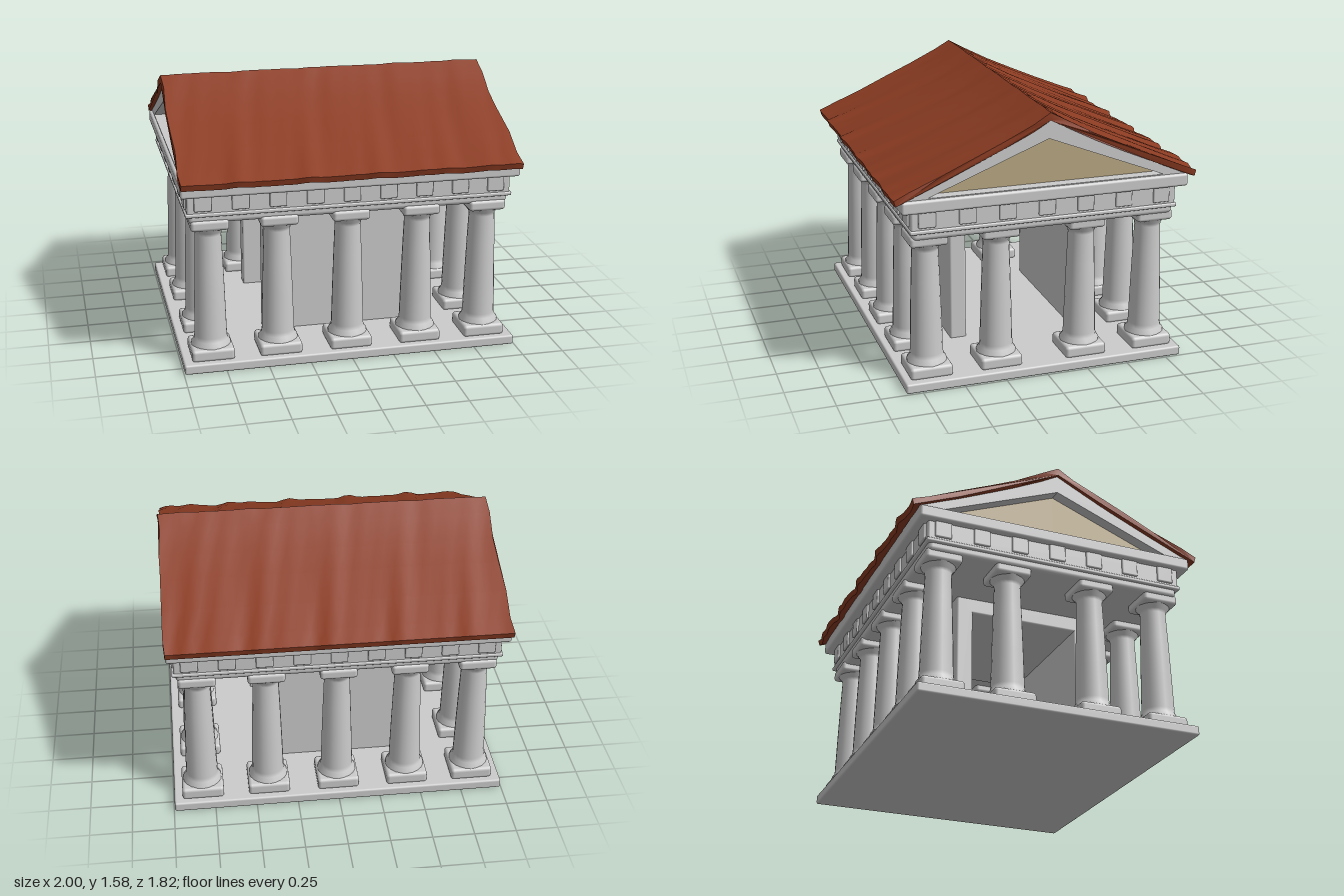
import * as THREE from 'three';
import { toCreasedNormals } from 'three/addons/utils/BufferGeometryUtils.js';
import { RoundedBoxGeometry } from 'three/addons/geometries/RoundedBoxGeometry.js';

const stone = new THREE.MeshStandardMaterial({ color: 0xcccccc });
const tile = new THREE.MeshStandardMaterial({ color: 0x8c3c22 });
const ochre = new THREE.MeshStandardMaterial({ color: 0xb8a681 });

function add(parent, name, geometry, material = stone) {
  const mesh = new THREE.Mesh(geometry, material);
  mesh.name = name;
  parent.add(mesh);
  return mesh;
}

// Softened block with full width and depth, standing between two heights
function block(parent, name, w, d, y0, y1, x = 0, z = 0, r = 0.012) {
  const mesh = add(parent, name, new RoundedBoxGeometry(w, y1 - y0, d, 2, r));
  mesh.position.set(x, (y0 + y1) / 2, z);
  return mesh;
}

// Profile of [z, y] points (z >= 0 half, mirrored) as a closed shape
function mirrored(points, Type = THREE.Shape) {
  const right = points.map(([z, y]) => new THREE.Vector2(z, y));
  const left = points.filter(([z]) => z > 0).reverse().map(([z, y]) => new THREE.Vector2(-z, y));
  return new Type([...right, ...left]);
}

// Extrude a z/y shape along x, centred
function alongX(shape, length, steps = 1) {
  const g = new THREE.ExtrudeGeometry(shape, { depth: length, steps, bevelEnabled: false });
  return g.translate(0, 0, -length / 2).rotateY(Math.PI / 2);
}

function column(x, z) {
  const group = new THREE.Group();
  group.name = 'column';
  block(group, 'plinth', 0.25, 0.25, 0.05, 0.125, 0, 0, 0.02);
  const profile = [
    [0.118, 0.11], [0.115, 0.135], [0.1, 0.155], [0.096, 0.18], [0.09, 0.4], [0.083, 0.62],
    [0.076, 0.8], [0.08, 0.82], [0.1, 0.845], [0.106, 0.87],
  ].map(([r, y]) => new THREE.Vector2(r, y));
  add(group, 'shaft', new THREE.LatheGeometry(profile, 20));
  block(group, 'abacus', 0.22, 0.22, 0.845, 0.91, 0, 0, 0.02);
  group.position.set(x, 0, z);
  return group;
}

// Tiled roof: a folded slab with slightly uneven surface and ragged eaves
function roofGeometry() {
  const top = [[0, 1.575], [0.1, 1.518], [0.27, 1.43], [0.425, 1.36], [0.62, 1.275], [0.8, 1.2], [0.9, 1.16]];
  const under = [[0.89, 1.125], [0.8, 1.16], [0.62, 1.235], [0.425, 1.32], [0.27, 1.39], [0.1, 1.475], [0, 1.53]];
  const right = [...top, ...under];
  const left = right.slice(1, -1).reverse().map(([z, y]) => [-z, y]);
  const shape = new THREE.Shape([...right, ...left].map((p) => new THREE.Vector2(...p)));
  const g = alongX(shape, 1.98, 48);
  const p = g.attributes.position;
  for (let i = 0; i < p.count; i++) {
    const x = p.getX(i), y = p.getY(i), z = p.getZ(i), side = z < 0 ? 1.7 : 0;
    const out = Math.min(1, Math.abs(z) / 0.9);
    const wave = Math.sin(x * 17 + side) + 0.7 * Math.sin(x * 31 + side * 2 + z * 4) + 0.5 * Math.sin(x * 47 + z * 9);
    p.setY(i, y + 0.004 * wave * (0.4 + out * 0.6));
    p.setZ(i, z + Math.sign(z) * 0.006 * wave * out ** 4);
    p.setX(i, x + 0.008 * Math.sin(z * 14) * Math.abs(x));
  }
  return toCreasedNormals(g, 0.5);
}

export function createModel() {
  const temple = new THREE.Group();
  temple.name = 'temple';

  block(temple, 'basePlatform', 1.99, 1.69, 0, 0.058);

  // Five columns on the long sides, four on the gable ends
  const columns = new THREE.Group();
  columns.name = 'columns';
  temple.add(columns);
  for (const s of [-1, 1]) {
    for (const x of [-0.82, -0.42, 0, 0.42, 0.82]) columns.add(column(x, s * 0.68));
    for (const z of [-0.26, 0.26]) columns.add(column(s * 0.82, z));
  }

  // Inner chamber, open towards both gable ends
  const chamber = new THREE.Group();
  chamber.name = 'innerChamber';
  temple.add(chamber);
  for (const s of [-1, 1]) block(chamber, 'chamberWall', 0.92, 0.1, 0.05, 0.91, 0, s * 0.38);
  block(chamber, 'chamberCeiling', 0.92, 0.76, 0.8, 0.91);

  // Beams above the columns
  block(temple, 'architrave', 1.88, 1.56, 0.89, 0.96, 0, 0, 0.025);
  block(temple, 'frieze', 1.9, 1.58, 0.945, 1.08);
  block(temple, 'friezeBand', 1.92, 1.595, 0.935, 0.958, 0, 0, 0.008);
  const friezeBlocks = new THREE.Group();
  friezeBlocks.name = 'friezeBlocks';
  temple.add(friezeBlocks);
  for (const s of [-1, 1]) {
    for (let i = 0; i < 9; i++) block(friezeBlocks, 'friezeBlock', 0.1, 0.03, 0.97, 1.08, -0.86 + i * 0.215, s * 0.788, 0.008);
    for (let i = 0; i < 7; i++) block(friezeBlocks, 'friezeBlock', 0.03, 0.1, 0.97, 1.08, s * 0.946, -0.7 + i * 0.2333, 0.008);
  }
  block(temple, 'cornice', 1.98, 1.7, 1.065, 1.14, 0, 0, 0.015);

  // Gables: triangular frame with a recessed coloured panel
  const frame = mirrored([[0, 1.12], [0.85, 1.12], [0.85, 1.14], [0.425, 1.335], [0, 1.54]]);
  frame.holes.push(mirrored([[0, 1.42], [0.7, 1.145]], THREE.Path));
  add(temple, 'pedimentFrame', toCreasedNormals(alongX(frame, 1.94), 0.5));
  add(temple, 'pedimentPanel', alongX(mirrored([[0, 1.13], [0.74, 1.13], [0, 1.43]]), 1.8), ochre);

  add(temple, 'roof', roofGeometry(), tile);
  return temple;
}
